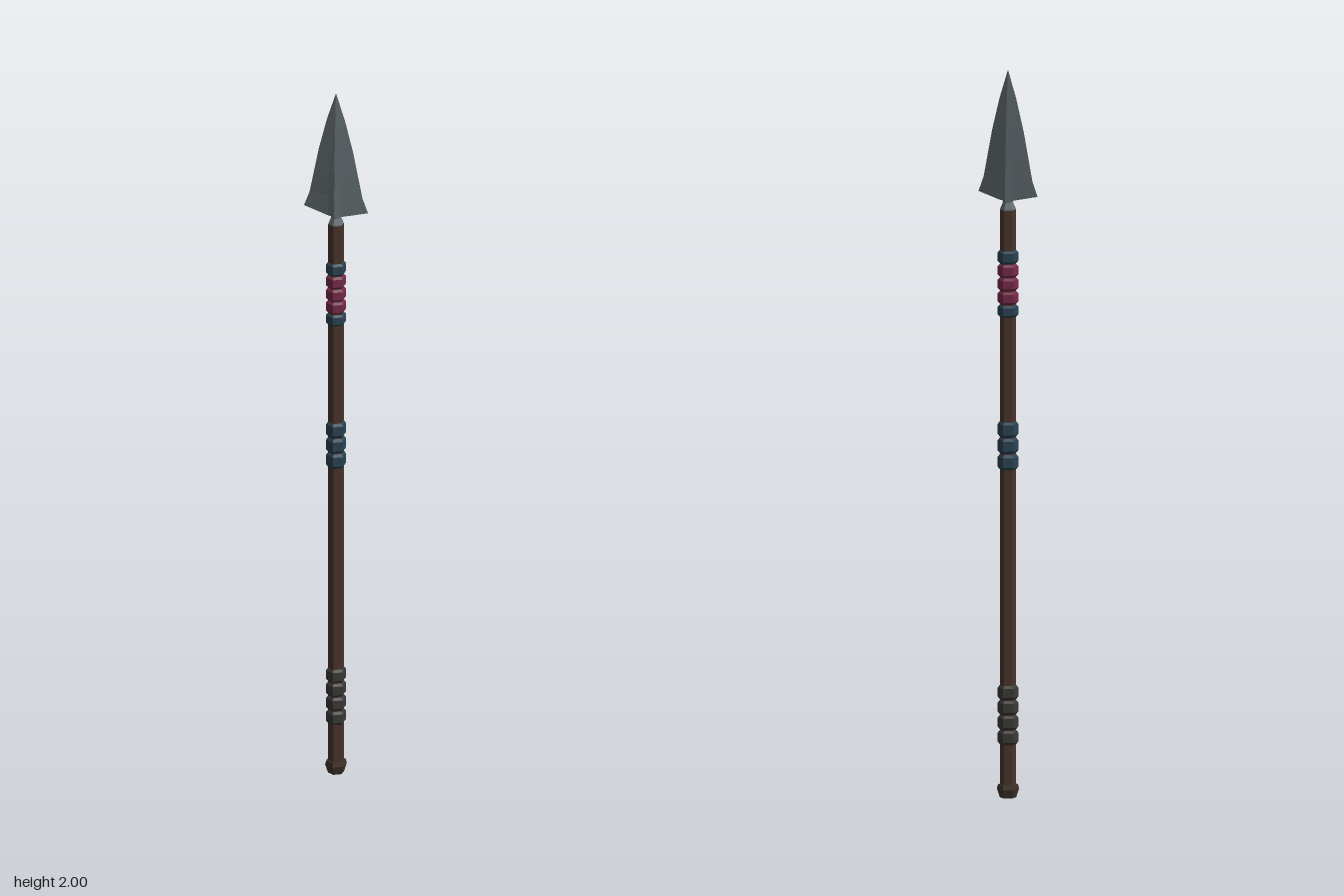
import * as THREE from 'three';

const mat = (name, color) => {
  const m = new THREE.MeshStandardMaterial({ color, flatShading: true });
  m.name = name;
  return m;
};

export function createModel() {
  const spear = new THREE.Group();
  spear.name = 'spear';
  const steel = mat('steel', 0x697377);
  const wood = mat('wood', 0x49342a);
  const blue = mat('blue cloth', 0x2a4353);
  const red = mat('crimson cloth', 0x782a48);
  const leather = mat('dark leather', 0x3a3a39);
  const cap = mat('dark wood', 0x40322a);

  // Six-sided turned part from [radius, y] points
  const turned = (name, points, material) => {
    const profile = points.map(([r, y]) => new THREE.Vector2(r, y));
    const mesh = new THREE.Mesh(new THREE.LatheGeometry(profile, 6), material);
    mesh.name = name;
    spear.add(mesh);
  };

  // Stack of bevelled wrapping bands between two heights
  const wrap = (name, y0, y1, count, material, r = 0.028) => {
    const h = (y1 - y0) / count;
    for (let i = 0; i < count; i++) {
      const y = y0 + i * h;
      turned(`${name}${i + 1}`, [
        [0.021, y], [r, y + h * 0.2], [r, y + h * 0.8], [0.021, y + h],
      ], material);
    }
  };

  // Shaft, butt cap and the socket under the blade
  turned('shaft', [[0, 0.01], [0.022, 0.01], [0.022, 1.615], [0, 1.615]], wood);
  turned('buttCap', [[0, 0], [0.022, 0], [0.03, 0.024], [0.027, 0.036], [0, 0.036]], cap);
  turned('socket', [[0, 1.61], [0.021, 1.61], [0.021, 1.618], [0.014, 1.635], [0.017, 1.66], [0, 1.67]], steel);

  // Wrappings
  wrap('lowerGrip', 0.145, 0.31, 4, leather);
  wrap('middleGrip', 0.9, 1.035, 3, blue);
  wrap('upperGripBottom', 1.32, 1.355, 1, blue);
  wrap('upperGrip', 1.355, 1.467, 3, red);
  wrap('upperGripTop', 1.467, 1.505, 1, blue);

  // Blade sections: edge height, centre height, half width, rib half width, rib depth, ridge depth
  const sections = [
    [1.658, 1.642, 0.091, 0.018, 0.012, 0.017],
    [1.70, 1.70, 0.075, 0.018, 0.011, 0.016],
    [1.76, 1.77, 0.063, 0.016, 0.01, 0.014],
    [1.83, 1.83, 0.049, 0.008, 0.009, 0.011],
    [1.92, 1.92, 0.026, 0.004, 0.005, 0.006],
    [2, 2, 0, 0, 0, 0],
  ];
  const ring = ([ye, yc, w, r, d, t]) => [
    [w, ye, 0], [r, yc, d], [0, yc, t], [-r, yc, d],
    [-w, ye, 0], [-r, yc, -d], [0, yc, -t], [r, yc, -d],
  ];
  const rings = sections.map(ring);
  const pos = [];
  for (let k = 0; k < rings.length - 1; k++) {
    for (let i = 0; i < 8; i++) {
      const j = (i + 1) % 8;
      const a = rings[k][i], b = rings[k][j], c = rings[k + 1][i], d = rings[k + 1][j];
      pos.push(...a, ...c, ...b);
      if (k < rings.length - 2) pos.push(...b, ...c, ...d);
      if (k === 0) pos.push(0, 1.642, 0, ...a, ...b);
    }
  }
  const bladeGeo = new THREE.BufferGeometry();
  bladeGeo.setAttribute('position', new THREE.Float32BufferAttribute(pos, 3));
  bladeGeo.computeVertexNormals();
  const blade = new THREE.Mesh(bladeGeo, steel);
  blade.name = 'blade';
  spear.add(blade);

  return spear;
}
